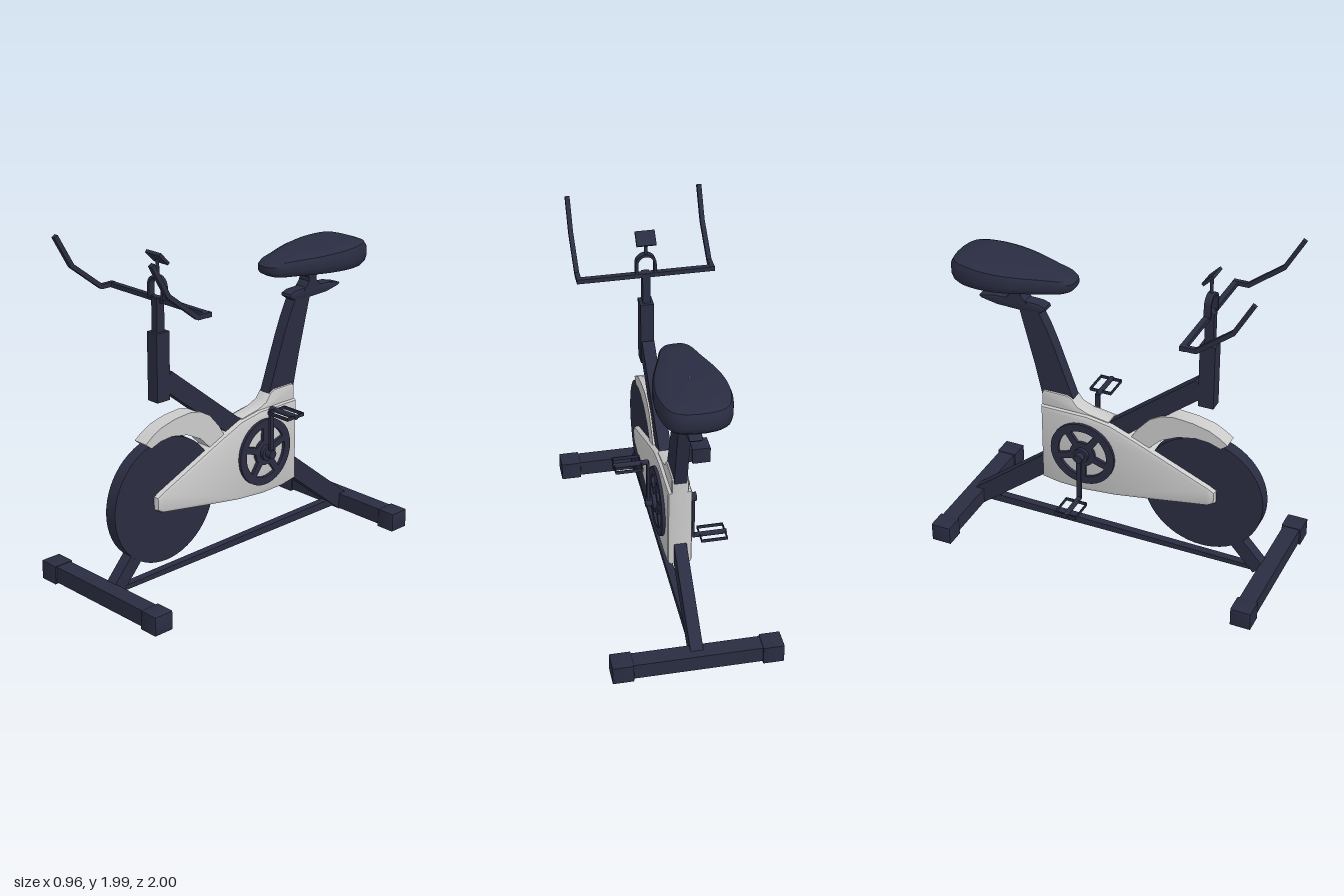
import * as THREE from 'three';
import { toCreasedNormals } from 'three/addons/utils/BufferGeometryUtils.js';

const dark = new THREE.MeshStandardMaterial({ color: 0x2a2d42 });
const grey = new THREE.MeshStandardMaterial({ color: 0xcccccc });

function add(parent, name, geometry, material = dark, x = 0, y = 0, z = 0) {
  const mesh = new THREE.Mesh(geometry, material);
  mesh.name = name;
  mesh.position.set(x, y, z);
  parent.add(mesh);
  return mesh;
}

function box(parent, name, w, h, d, x, y, z) {
  return add(parent, name, new THREE.BoxGeometry(w, h, d), dark, x, y, z);
}

// Square bar in the side plane, between two [z, y] points
function bar(parent, name, a, b, width, thick, x = 0) {
  const dz = b[0] - a[0], dy = b[1] - a[1];
  const mesh = box(parent, name, width, thick, Math.hypot(dz, dy), x, (a[1] + b[1]) / 2, (a[0] + b[0]) / 2);
  mesh.rotation.x = -Math.atan2(dy, dz);
  return mesh;
}

// Side profile of [z, y] points, extruded across x
function sideProfile(points, width, bevel = 0) {
  const shape = new THREE.Shape(points.map(p => new THREE.Vector2(...p)));
  const depth = width - 2 * bevel;
  const geometry = new THREE.ExtrudeGeometry(shape, {
    depth, bevelEnabled: bevel > 0, bevelSize: bevel, bevelThickness: bevel, bevelOffset: -bevel, bevelSegments: 2,
  });
  geometry.translate(0, 0, -depth / 2).rotateY(-Math.PI / 2);
  return toCreasedNormals(geometry, 0.6);
}

// Saddle: the plan outline scaled at several heights
function saddleGeometry() {
  const half = [[0.09, -0.985], [0.155, -0.945], [0.19, -0.84], [0.197, -0.72], [0.175, -0.58], [0.115, -0.4], [0.08, -0.3], [0.045, -0.265]];
  const plan = [...half, ...half.map(([x, z]) => [-x, z]).reverse()];
  const curve = new THREE.CatmullRomCurve3(plan.map(([x, z]) => new THREE.Vector3(x, 0, z)), true);
  const outline = curve.getPoints(48).slice(0, -1);
  const levels = [[0.01, 1.6], [0.7, 1.595], [0.9, 1.578], [0.97, 1.6], [1, 1.63], [1, 1.68], [0.95, 1.71], [0.8, 1.728], [0.5, 1.734], [0.01, 1.735]];
  const n = outline.length, positions = [], index = [];
  levels.forEach(([scale, y], k) => outline.forEach((p, i) => {
    const z = -0.66 + (p.z + 0.66) * scale;
    const t = THREE.MathUtils.clamp((z + 0.9) / 0.63, 0, 1);
    positions.push(p.x * scale, 1.64 + (y - 1.64) * (1 - 0.4 * t), z);
    if (k === levels.length - 1) return;
    const a = k * n + i, b = k * n + (i + 1) % n;
    index.push(a, a + n, b, b, a + n, b + n);
  }));
  const geometry = new THREE.BufferGeometry();
  geometry.setAttribute('position', new THREE.Float32BufferAttribute(positions, 3));
  geometry.setIndex(index);
  return toCreasedNormals(geometry, 0.6);
}

// Open chainring with five spokes
function chainringGeometry() {
  const shape = new THREE.Shape().absarc(0, 0, 0.2, 0, Math.PI * 2);
  for (let i = 0; i < 5; i++) {
    const mid = Math.PI / 2 + (i + 0.5) * Math.PI * 0.4;
    const hole = new THREE.Path();
    hole.absarc(0, 0, 0.152, mid - 0.5, mid + 0.5, false);
    hole.absarc(0, 0, 0.078, mid + 0.36, mid - 0.36, true);
    hole.closePath();
    shape.holes.push(hole);
  }
  const geometry = new THREE.ExtrudeGeometry(shape, { depth: 0.022, bevelEnabled: false, curveSegments: 20 });
  return toCreasedNormals(geometry.rotateY(Math.PI / 2), 0.6);
}

function crossCylinder(radius, length, sides = 20) {
  return new THREE.CylinderGeometry(radius, radius, length, sides).rotateZ(Math.PI / 2);
}

// One side of the drive: chainring, crank and pedal, built towards +x
function createCrank(name) {
  const crank = new THREE.Group();
  crank.name = name;
  add(crank, 'chainring', chainringGeometry(), dark, 0.066);
  add(crank, 'chainringHub', crossCylinder(0.045, 0.04), dark, 0.09);
  add(crank, 'crankBoss', crossCylinder(0.026, 0.06), dark, 0.117);
  box(crank, 'crankArm', 0.016, 0.28, 0.028, 0.13, 0.14, 0);
  add(crank, 'pedalAxle', crossCylinder(0.015, 0.2, 12), dark, 0.228, 0.28);
  for (const x of [0.17, 0.32]) box(crank, 'pedalEndPlate', 0.005, 0.02, 0.135, x, 0.28, 0);
  for (const z of [-0.065, 0.065]) box(crank, 'pedalSidePlate', 0.15, 0.02, 0.005, 0.245, 0.28, z);
  crank.position.set(0, 0.59, -0.2);
  return crank;
}

export function createModel() {
  const model = new THREE.Group();
  model.name = 'exerciseBike';

  // Floor stabilisers with end caps, joined by a low rail
  for (const s of [1, -1]) {
    box(model, s > 0 ? 'frontStabiliser' : 'rearStabiliser', 0.74, 0.095, 0.1, 0, 0.058, s * 0.94);
    for (const x of [-0.42, 0.42]) {
      const cap = sideProfile([[-0.06, 0], [0.06, 0], [0.06, 0.11], [-0.06, 0.11]], 0.12, 0.005);
      add(model, 'stabiliserCap', cap, dark, x, 0, s * 0.94);
    }
  }
  add(model, 'floorRail', sideProfile([[0.92, 0.04], [0.92, 0.066], [-0.92, 0.085], [-0.92, 0.035]], 0.045));

  // Frame
  bar(model, 'mainFrameTube', [0.5, 1.19], [-0.93, 0.045], 0.072, 0.108);
  bar(model, 'frontFork', [0.88, 0.06], [0.53, 0.45], 0.068, 0.085);
  box(model, 'headTube', 0.078, 0.39, 0.09, 0, 1.27, 0.53);

  // Flywheel and its guard
  const wheel = new THREE.CylinderGeometry(0.363, 0.363, 0.074, 56).rotateZ(Math.PI / 2);
  add(model, 'flywheel', wheel, dark, 0, 0.497, 0.527);
  add(model, 'flywheelGuard', sideProfile([
    [0.67, 0.865], [0.62, 0.9], [0.56, 0.932], [0.46, 0.956], [0.35, 0.965], [0.27, 0.95], [0.2, 0.91], [0.13, 0.83],
    [0.08, 0.75], [0.1, 0.6], [0.17, 0.65], [0.2, 0.72], [0.27, 0.79], [0.37, 0.84], [0.48, 0.862], [0.56, 0.856], [0.63, 0.832],
  ], 0.092), grey);

  // Drive housing with a narrower collar for the seat post
  add(model, 'driveHousing', sideProfile([
    [0.61, 0.54], [0.61, 0.465], [0.57, 0.44], [0.2, 0.375], [0, 0.342], [-0.2, 0.323], [-0.36, 0.326], [-0.47, 0.345],
    [-0.47, 0.84], [-0.18, 0.84], [-0.03, 0.815], [0.12, 0.755], [0.57, 0.562],
  ], 0.14, 0.02), grey);
  add(model, 'seatPostCollar', sideProfile([
    [-0.47, 0.75], [-0.47, 0.92], [-0.455, 0.935], [-0.31, 0.935], [-0.28, 0.92], [-0.245, 0.875], [-0.18, 0.848], [-0.05, 0.825], [-0.05, 0.75],
  ], 0.095, 0.01), grey);

  // Cranks point in opposite directions
  model.add(createCrank('leftCrank'));
  const right = createCrank('rightCrank');
  right.rotation.z = Math.PI;
  model.add(right);

  // Seat post, slider and saddle
  add(model, 'seatPost', sideProfile([
    [-0.27, 0.9], [-0.47, 0.9], [-0.515, 1.1], [-0.605, 1.45], [-0.49, 1.45], [-0.435, 1.34], [-0.39, 1.23],
  ], 0.072));
  add(model, 'seatSlider', sideProfile([
    [-0.435, 1.455], [-0.47, 1.43], [-0.56, 1.42], [-0.74, 1.425], [-0.84, 1.445], [-0.855, 1.46], [-0.77, 1.482], [-0.62, 1.49], [-0.48, 1.485], [-0.44, 1.47],
  ], 0.075, 0.01));
  add(model, 'saddleClamp', sideProfile([
    [-0.54, 1.6], [-0.59, 1.545], [-0.59, 1.52], [-0.55, 1.47], [-0.7, 1.47], [-0.65, 1.52], [-0.65, 1.545], [-0.71, 1.6],
  ], 0.08));
  add(model, 'saddle', saddleGeometry());

  // Handlebar
  box(model, 'handlebarStem', 0.044, 0.2, 0.052, 0, 1.555, 0.53);
  box(model, 'handlebarCrossbar', 0.79, 0.026, 0.032, 0, 1.643, 0.525);
  const grip = [[0.51, 1.645], [0.6, 1.645], [0.8, 1.8], [0.903, 1.98]];
  for (const x of [-0.382, 0.382]) {
    for (let i = 0; i < 3; i++) bar(model, 'handlebarGrip', grip[i], grip[i + 1], 0.026, 0.026, x);
    for (const [z, y] of grip.slice(1, 3)) add(model, 'gripBend', crossCylinder(0.013, 0.026, 12), dark, x, y, z);
  }

  // Display on an arched bracket
  const arch = new THREE.Shape();
  arch.moveTo(0.06, 0).lineTo(0.06, 0.07).absarc(0, 0.07, 0.06, 0, Math.PI, false).lineTo(-0.06, 0);
  arch.lineTo(-0.045, 0).lineTo(-0.045, 0.07).absarc(0, 0.07, 0.045, Math.PI, 0, true).lineTo(0.045, 0);
  const archGeometry = new THREE.ExtrudeGeometry(arch, { depth: 0.04, bevelEnabled: false, curveSegments: 16 });
  add(model, 'displayArch', toCreasedNormals(archGeometry, 0.6), dark, 0, 1.645, 0.51);
  add(model, 'displayPost', new THREE.CylinderGeometry(0.01, 0.01, 0.1, 12), dark, 0, 1.815, 0.528);
  bar(model, 'display', [0.558, 1.902], [0.497, 1.84], 0.112, 0.018);
  return model;
}
